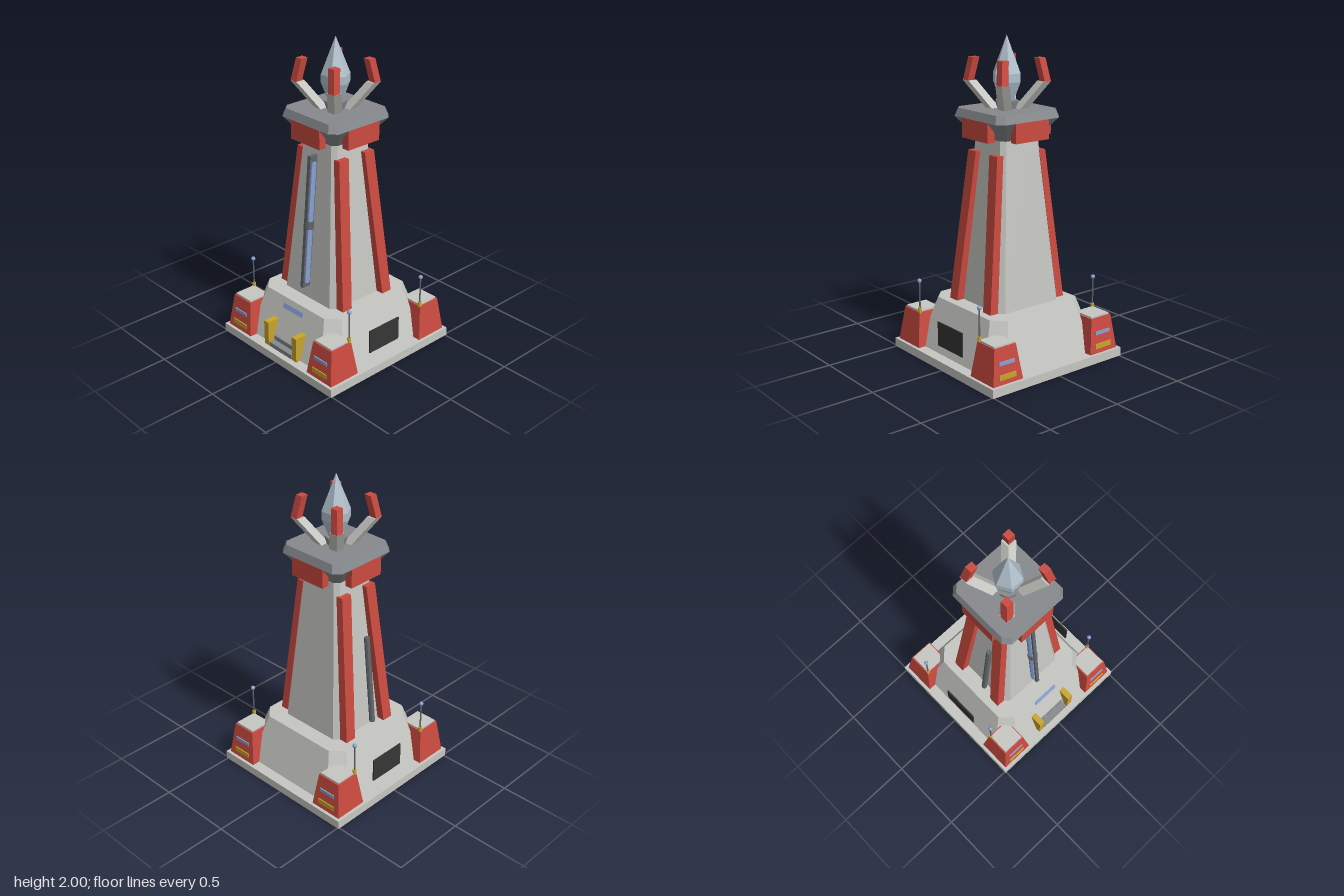
import * as THREE from 'three';

const mat = (name, color) => Object.assign(new THREE.MeshStandardMaterial({ color, flatShading: true }), { name });
const stone = mat('pale stone', 0xc6c6c2);
const steel = mat('mid grey steel', 0x86898d);
const iron = mat('dark grey iron', 0x62666b);
const red = mat('red panels', 0xcb4a40);
const gold = mat('yellow trim', 0xc9a52c);
const blue = mat('blue glass', 0x86a3d6);
const black = mat('black vent', 0x363636);
const crystalMat = mat('pale crystal', 0xb0c0cc);

// Horizontal outlines, listed from +x towards +z
const rect = (cx, cz, hx, hz = hx) => [[1, -1], [1, 1], [-1, 1], [-1, -1]].map(([a, b]) => [cx + a * hx, cz + b * hz]);
const octagon = (h, c) => {
  const k = h - c;
  return [[h, -k], [h, k], [k, h], [-k, h], [-h, k], [-h, -k], [-k, -h], [k, -h]];
};

// Closed solid through a stack of [y, outline] sections
function loft(sections) {
  const pos = [];
  const put = (s, i) => {
    const ring = s[1], p = ring[i % ring.length];
    pos.push(p[0], s[0], p[1]);
  };
  const n = sections[0][1].length;
  for (let s = 0; s + 1 < sections.length; s++) {
    const lo = sections[s], hi = sections[s + 1];
    for (let i = 0; i < n; i++) {
      put(lo, i); put(hi, i); put(lo, i + 1);
      put(lo, i + 1); put(hi, i); put(hi, i + 1);
    }
  }
  const first = sections[0], last = sections[sections.length - 1];
  for (let i = 1; i < n - 1; i++) {
    put(first, 0); put(first, i); put(first, i + 1);
    put(last, 0); put(last, i + 1); put(last, i);
  }
  const g = new THREE.BufferGeometry();
  g.setAttribute('position', new THREE.Float32BufferAttribute(pos, 3));
  g.computeVertexNormals();
  return g;
}

export function createModel() {
  const model = new THREE.Group();
  model.name = 'beaconTower';

  const add = (name, geometry, material, x = 0, y = 0, z = 0, parent = model) => {
    const m = new THREE.Mesh(geometry, material);
    m.name = name;
    m.position.set(x, y, z);
    parent.add(m);
    return m;
  };
  // Box given by its centre, bottom and top heights
  const block = (name, material, x, z, w, d, y0, y1, parent) =>
    add(name, new THREE.BoxGeometry(w, y1 - y0, d), material, x, (y0 + y1) / 2, z, parent);
  // Round bar between two points
  const rod = (name, material, from, to, r, sides = 8, parent = model) => {
    const a = new THREE.Vector3(...from), b = new THREE.Vector3(...to);
    const m = add(name, new THREE.CylinderGeometry(r, r, a.distanceTo(b), sides), material, 0, 0, 0, parent);
    m.position.copy(a).lerp(b, 0.5);
    m.quaternion.setFromUnitVectors(new THREE.Vector3(0, 1, 0), b.sub(a).normalize());
    return m;
  };

  // Ground slab, plinth and shaft
  block('baseSlab', stone, 0, 0, 1.02, 1.02, 0, 0.055);
  add('plinth', loft([[0.055, octagon(0.44, 0.1)], [0.365, octagon(0.34, 0.075)]]), stone);
  add('shaft', loft([[0.365, octagon(0.238, 0.036)], [1.46, octagon(0.138, 0.025)]]), stone);

  for (const sx of [-1, 1]) {
    for (const sz of [-1, 1]) {
      // Corner bastion with cap, plates and antenna
      const bastion = new THREE.Group();
      bastion.name = 'cornerBastion';
      model.add(bastion);
      const x = sx * 0.38, z = sz * 0.38;
      add('bastionBody', loft([[0.055, rect(x, z, 0.11)], [0.275, rect(x, z, 0.08)]]), red, 0, 0, 0, bastion);
      block('bastionCap', stone, x, z, 0.145, 0.145, 0.27, 0.285, bastion);
      block('bastionTrim', gold, x, sz * 0.484, 0.125, 0.009, 0.083, 0.115, bastion);
      block('bastionWindow', blue, x, sz * 0.474, 0.115, 0.009, 0.17, 0.192, bastion);
      const ax = sx * 0.45, az = sz * 0.307;
      rod('antennaFoot', gold, [ax, 0.27, az], [ax, 0.305, az], 0.012, 8, bastion);
      rod('antennaMast', iron, [ax, 0.3, az], [ax, 0.48, az], 0.005, 6, bastion);
      add('antennaBall', new THREE.SphereGeometry(0.014, 10, 8), blue, ax, 0.482, az, bastion);

      // Leaning red rib on the side of the shaft
      add('shaftRib', loft([
        [0.36, rect(sx * 0.262, sz * 0.17, 0.028, 0.037)],
        [1.31, rect(sx * 0.162, sz * 0.104, 0.023, 0.038)],
      ]), red);

      // Prong around the crystal
      add('prongArm', loft([
        [1.56, rect(sx * 0.058, sz * 0.058, 0.03)],
        [1.73, rect(sx * 0.158, sz * 0.158, 0.03)],
      ]), stone);
      add('prongTip', loft([
        [1.73, rect(sx * 0.163, sz * 0.163, 0.024)],
        [1.87, rect(sx * 0.139, sz * 0.139, 0.024)],
      ]), red);
    }
    // Side vent and entrance post
    block('sideVent', black, sx * 0.44, 0, 0.009, 0.25, 0.11, 0.265);
    block('entrancePost', gold, sx * 0.132, 0.4275, 0.04, 0.085, 0.055, 0.22);
  }

  // Entrance steps and the lit sign above them
  block('lowerStep', steel, 0, 0.425, 0.21, 0.09, 0.055, 0.085);
  block('upperStep', steel, 0, 0.405, 0.21, 0.05, 0.085, 0.115);
  const sign = block('entranceSign', blue, 0, 0.357, 0.18, 0.009, 0.3, 0.332);
  sign.rotation.x = -Math.atan2(0.1, 0.31);

  // Energy conduit up the front of the shaft
  add('conduitSpine', loft([
    [0.45, rect(0, 0.257, 0.012, 0.029)],
    [1.31, rect(0, 0.184, 0.012, 0.029)],
  ]), iron);
  rod('conduitTube', blue, [0, 0.48, 0.252], [0, 1.27, 0.185], 0.024);
  rod('conduitClamp', iron, [0, 0.84, 0.223], [0, 0.89, 0.219], 0.031);

  // Pipe on the right side of the shaft
  rod('sidePipe', iron, [-0.265, 0.39, 0.052], [-0.208, 0.98, 0.052], 0.018);

  // Crown with a red panel on each side
  add('crown', loft([
    [1.395, octagon(0.148, 0.028)],
    [1.515, octagon(0.243, 0.043)],
    [1.565, octagon(0.226, 0.04)],
  ]), steel);
  for (let i = 0; i < 4; i++) {
    const side = new THREE.Group();
    side.name = 'crownSide';
    side.rotation.y = i * Math.PI / 2;
    model.add(side);
    block('crownPanel', red, 0, 0.2185, 0.25, 0.05, 1.395, 1.515, side);
  }

  // Pedestal and crystal
  add('pedestal', new THREE.CylinderGeometry(0.07, 0.06, 0.05, 8), steel, 0, 1.588, 0);
  const hexagon = r => Array.from({ length: 6 }, (_, i) => [r * Math.cos(i * Math.PI / 3), r * Math.sin(i * Math.PI / 3)]);
  add('crystal', loft([
    [1.61, hexagon(0.045)],
    [1.725, hexagon(0.089)],
    [1.775, hexagon(0.089)],
    [2, hexagon(0.001)],
  ]), crystalMat);

  return model;
}
